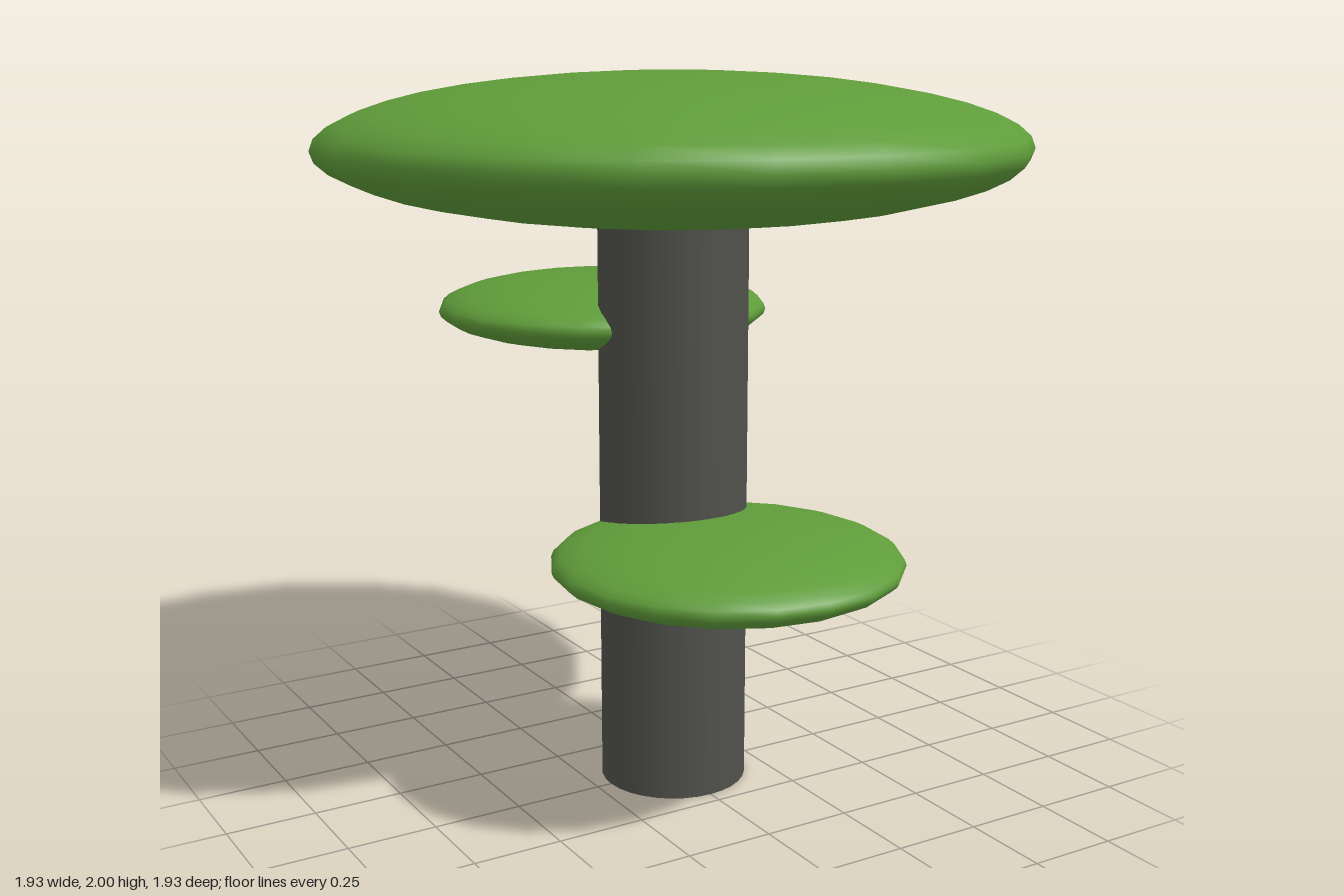
import * as THREE from 'three';

export function createModel() {
  const group = new THREE.Group();
  const leafGreen = new THREE.MeshStandardMaterial({ color: 0x5f9c3a });
  leafGreen.name = 'leafGreen';
  const trunkGrey = new THREE.MeshStandardMaterial({ color: 0x50504b });
  trunkGrey.name = 'trunkGrey';

  // Straight round trunk, ending inside the crown
  const trunk = new THREE.Mesh(new THREE.CylinderGeometry(0.207, 0.207, 1.8, 32), trunkGrey);
  trunk.name = 'trunk';
  trunk.position.y = 0.9;
  group.add(trunk);

  // Flattened 20-sided foliage discs: name, radius, half height, y, z
  const discs = [
    ['crown', 0.963, 0.2, 1.8, 0],
    ['lowerFrontFoliage', 0.48, 0.1, 0.71, 0.285],
    ['upperBackFoliage', 0.48, 0.1, 1.31, -0.405],
  ];
  for (const [name, radius, halfHeight, y, z] of discs) {
    const geometry = new THREE.SphereGeometry(1, 20, 20);
    geometry.scale(radius, halfHeight, radius);
    const disc = new THREE.Mesh(geometry, leafGreen);
    disc.name = name;
    disc.position.set(0, y, z);
    group.add(disc);
  }
  return group;
}
